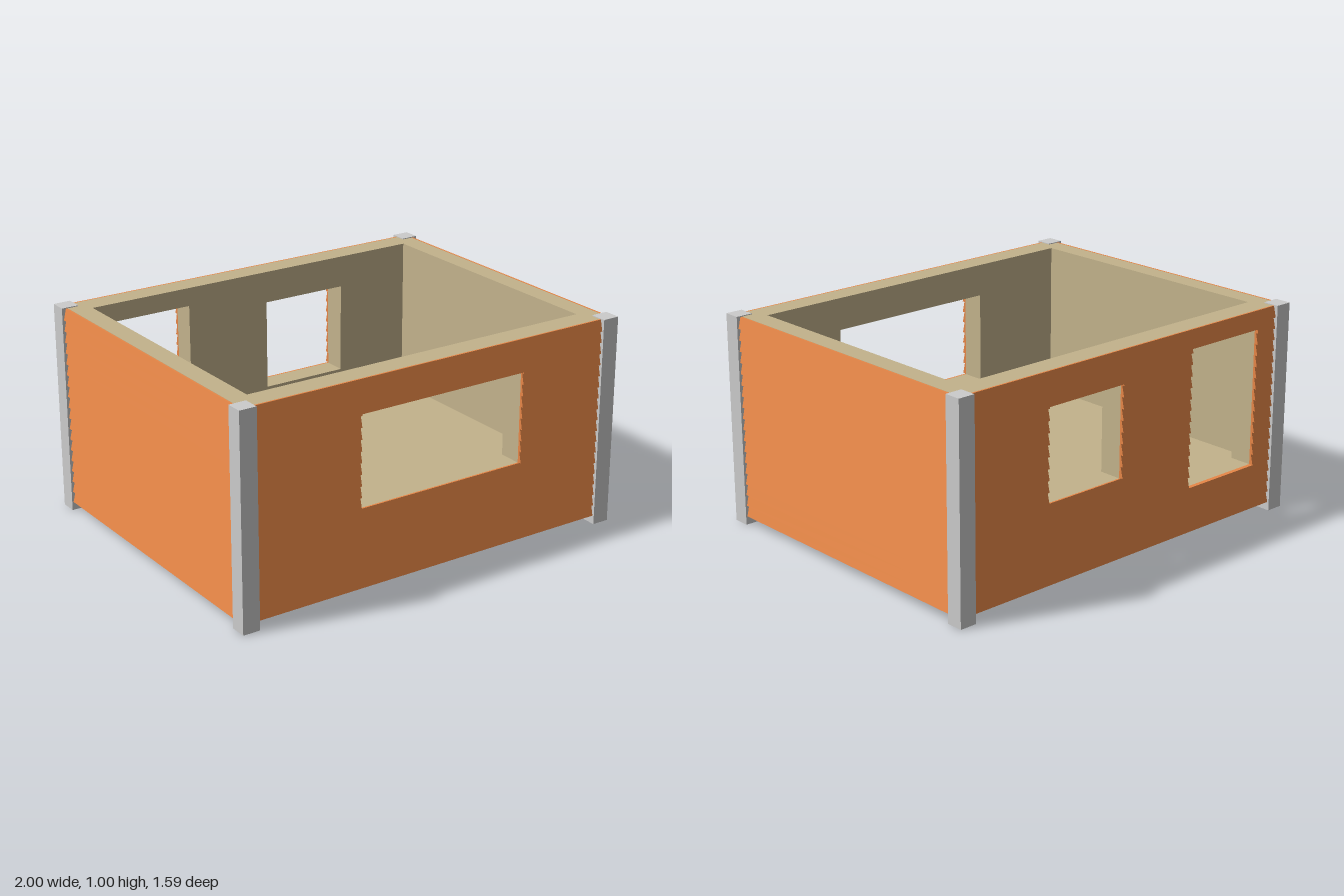
import * as THREE from 'three';
import { mergeGeometries } from 'three/addons/utils/BufferGeometryUtils.js';

const tan = new THREE.MeshStandardMaterial({ color: 0xc3b38c });
const orange = new THREE.MeshStandardMaterial({ color: 0xe88747 });
const grey = new THREE.MeshStandardMaterial({ color: 0xcccccc });

// Shell extents: outer and inner half sizes, slab and wall heights
const OX = 0.97, OZ = 0.765, IX = 0.875, IZ = 0.655;
const SLAB = 0.13, FLOOR = 0.25, TOP = 0.998;

// Openings in world x and y
const frontOpenings = [{ x0: -0.395, x1: 0.47, y0: 0.41, y1: 0.845 }];
const backOpenings = [
  { x0: 0.06, x1: 0.495, y0: 0.41, y1: 0.845 },
  { x0: -0.8, x1: -0.37, y0: 0.255, y1: 0.91 },
];

function add(parent, name, geometry, material, x = 0, y = 0, z = 0) {
  const mesh = new THREE.Mesh(geometry, material);
  mesh.name = name;
  mesh.position.set(x, y, z);
  parent.add(mesh);
  return mesh;
}

// Inner wall: a rectangle with holes, extruded in z
function wallGeometry(openings) {
  const rect = (P, x0, y0, x1, y1) => {
    const p = new P();
    p.moveTo(x0, y0); p.lineTo(x1, y0); p.lineTo(x1, y1); p.lineTo(x0, y1); p.closePath();
    return p;
  };
  const shape = rect(THREE.Shape, -OX, FLOOR, OX, TOP);
  for (const o of openings) shape.holes.push(rect(THREE.Path, o.x0, o.y0, o.x1, o.y1));
  return new THREE.ExtrudeGeometry(shape, { depth: OZ - IZ, bevelEnabled: false });
}

// Lapped boards facing +z, thick at the lower edge of each row, cut around openings
function sidingGeometry(half, openings) {
  const rows = 18, y0 = 0.04, pitch = (TOP - y0) / rows;
  const thickness = (t) => 0.021 - 0.013 * t;
  const parts = [];
  for (let r = 0; r < rows; r++) {
    const base = y0 + r * pitch;
    const cuts = [base, base + pitch];
    for (const o of openings) {
      for (const y of [o.y0, o.y1]) if (y > base + 1e-4 && y < base + pitch - 1e-4) cuts.push(y);
    }
    cuts.sort((a, b) => a - b);
    for (let i = 0; i + 1 < cuts.length; i++) {
      const a = cuts[i], b = cuts[i + 1], mid = (a + b) / 2;
      const ends = [-half, half];
      for (const o of openings) if (mid > o.y0 && mid < o.y1) ends.push(o.x0, o.x1);
      ends.sort((p, q) => p - q);
      for (let k = 0; k < ends.length; k += 2) {
        const g = new THREE.BoxGeometry(ends[k + 1] - ends[k], b - a, 1);
        g.translate((ends[k] + ends[k + 1]) / 2, mid, 0.5);
        const p = g.attributes.position;
        for (let v = 0; v < p.count; v++) {
          if (p.getZ(v) > 0.5) p.setZ(v, thickness((p.getY(v) - base) / pitch));
        }
        g.computeVertexNormals();
        parts.push(g);
      }
    }
  }
  return mergeGeometries(parts);
}

export function createModel() {
  const house = new THREE.Group();
  house.name = 'house';

  // Floor slab and inner walls
  add(house, 'floorSlab', new THREE.BoxGeometry(2 * OX, FLOOR - SLAB, 2 * OZ), tan, 0, (FLOOR + SLAB) / 2, 0);
  add(house, 'frontWall', wallGeometry(frontOpenings), tan, 0, 0, IZ);
  add(house, 'backWall', wallGeometry(backOpenings), tan, 0, 0, -OZ);
  for (const s of [-1, 1]) {
    add(house, s > 0 ? 'leftWall' : 'rightWall',
      new THREE.BoxGeometry(OX - IX, TOP - FLOOR, 2 * IZ), tan, s * (OX + IX) / 2, (TOP + FLOOR) / 2, 0);
  }

  // Board siding on all four sides; the back is turned, so its openings are mirrored
  const turned = backOpenings.map((o) => ({ ...o, x0: -o.x1, x1: -o.x0 }));
  add(house, 'frontSiding', sidingGeometry(0.96, frontOpenings), orange, 0, 0, OZ);
  add(house, 'backSiding', sidingGeometry(0.96, turned), orange, 0, 0, -OZ).rotation.y = Math.PI;
  for (const s of [-1, 1]) {
    add(house, s > 0 ? 'leftSiding' : 'rightSiding', sidingGeometry(0.755, []), orange, s * (OX + 0.002), 0, 0)
      .rotation.y = s * Math.PI / 2;
  }

  // Corner posts
  for (const sx of [-1, 1]) {
    for (const sz of [-1, 1]) {
      add(house, 'cornerPost', new THREE.BoxGeometry(0.083, 1.002, 0.08), grey, sx * 0.9585, 0.501, sz * 0.755);
    }
  }
  return house;
}
